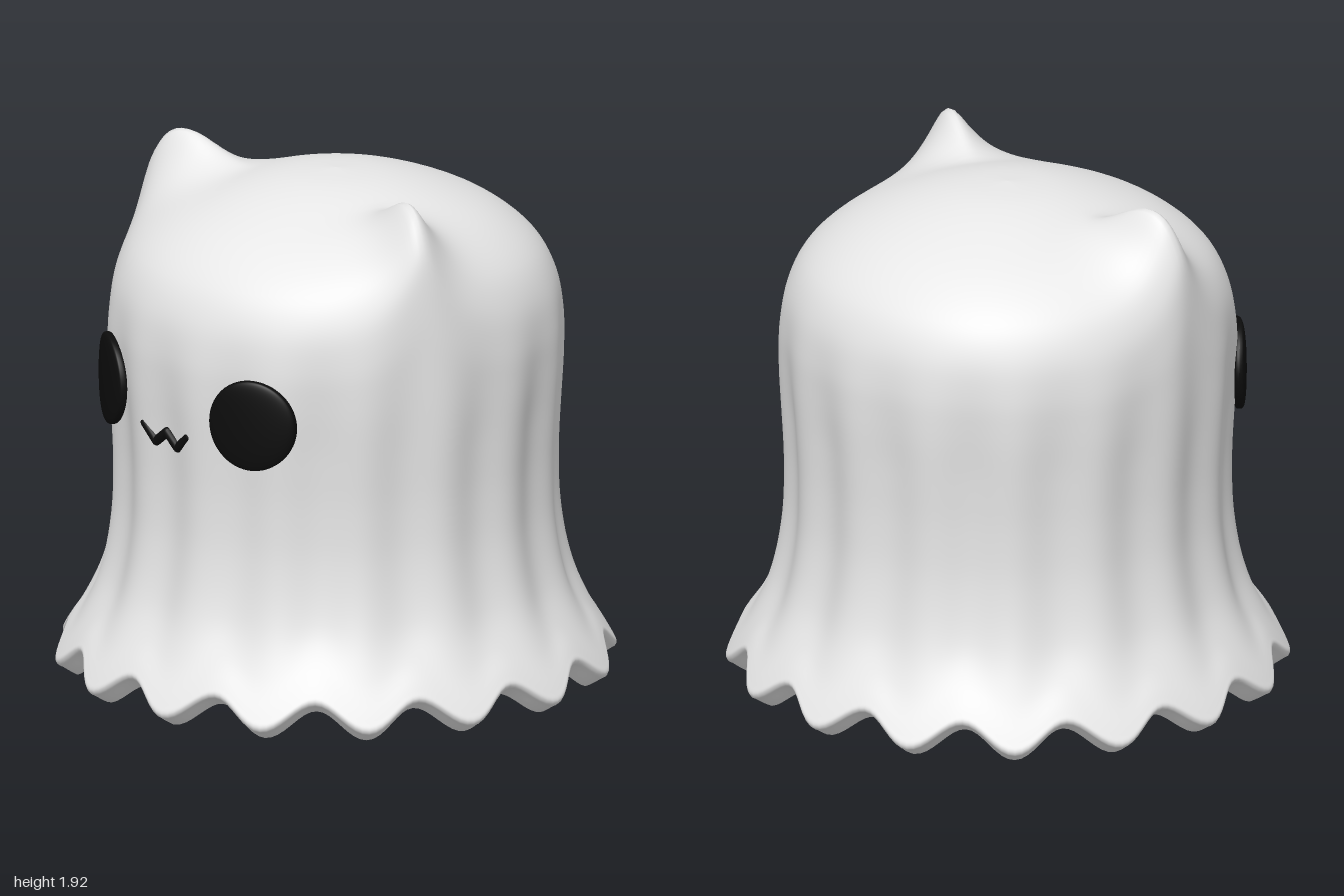
import * as THREE from 'three';

const SEG = 256;   // steps around the sheet
const LOBES = 16;  // folds around the hem

const smooth = (a, b, v) => THREE.MathUtils.smoothstep(v, a, b);

// Sheet cross-section (radius, height): crown, wall, rounded hem, then back up the lining
const PROFILE = [
  [0, 1.88], [0.2, 1.862], [0.4, 1.808], [0.6, 1.715], [0.735, 1.6], [0.797, 1.48],
  [0.82, 1.34], [0.819, 1.2], [0.805, 1.0], [0.796, 0.8], [0.803, 0.6], [0.84, 0.4],
  [0.91, 0.22], [0.98, 0.09], [0.994, 0.06], [0.988, 0.043], [0.97, 0.032], [0.935, 0.01],
  [0.916, 0.002], [0.902, 0.015], [0.83, 0.19], [0.755, 0.4], [0.715, 0.6], [0.708, 0.8],
  [0.717, 1.0], [0.731, 1.2], [0.73, 1.34], [0.705, 1.45], [0.64, 1.56], [0.5, 1.665],
  [0.3, 1.74], [0, 1.79],
];

// Pull the cloth up into a pointed ear along a ridge on each side
const EAR = { angle: 0.295, height: 0.28 };
function earLift(x, y, z) {
  const c = Math.cos(EAR.angle), s = Math.sin(EAR.angle);
  const along = Math.abs(x) * c + z * s;
  const across = z * c - Math.abs(x) * s;
  const ridge = Math.exp(-(Math.hypot(across, 0.035) - 0.035) / 0.11);
  return EAR.height * ridge * smooth(0.33, 0.75, along) * smooth(1.0, 1.5, y);
}

function sheetGeometry() {
  const curve = new THREE.CatmullRomCurve3(PROFILE.map(([r, y]) => new THREE.Vector3(r, y, 0)));
  const rows = curve.getPoints((PROFILE.length - 1) * 5);
  const positions = [], index = [];
  rows.forEach(({ x: r, y }, i) => {
    const pleat = 0.013 * (1 - smooth(1.0, 1.55, y)) + 0.012 * (1 - smooth(0.05, 0.35, y));
    const hem = 1 - smooth(0.04, 0.4, y);
    for (let j = 0; j < SEG; j++) {
      const a = (j / SEG) * Math.PI * 2;
      const wave = -Math.cos(a * LOBES);
      const radius = Math.max(0, r) + pleat * wave * Math.min(1, Math.max(0, r) * 2);
      const x = Math.sin(a) * radius, z = Math.cos(a) * radius;
      const yy = y + hem * 0.095 * (0.5 - 0.5 * wave);
      positions.push(x, yy + earLift(x, y, z), z);
      if (i < rows.length - 1) {
        const k = i * SEG + j, n = i * SEG + ((j + 1) % SEG);
        index.push(k, k + SEG, n, n, k + SEG, n + SEG);
      }
    }
  });
  const geo = new THREE.BufferGeometry();
  geo.setAttribute('position', new THREE.Float32BufferAttribute(positions, 3));
  geo.setIndex(index);
  geo.computeVertexNormals();
  return geo;
}

// Flattened oval bent to follow the face
function eyeGeometry() {
  const geo = new THREE.SphereGeometry(1, 48, 32);
  const p = geo.attributes.position;
  for (let i = 0; i < p.count; i++) {
    const x = p.getX(i) * 0.168, y = p.getY(i) * 0.168, z = p.getZ(i);
    const bulge = Math.sign(z) * Math.pow(Math.abs(z), 0.5) * 0.027;
    p.setXYZ(i, x, y, bulge - (x * x) / 1.66);
  }
  geo.computeVertexNormals();
  return geo;
}

export function createModel() {
  const cloth = new THREE.MeshStandardMaterial({ color: 0xe7e7e7 });
  cloth.name = 'white cloth';
  const black = new THREE.MeshStandardMaterial({ color: 0x0c0c0c });
  black.name = 'black';

  const model = new THREE.Group();
  model.name = 'sheetGhost';
  const add = (name, geo, mat, parent = model) => {
    const mesh = new THREE.Mesh(geo, mat);
    mesh.name = name;
    parent.add(mesh);
    return mesh;
  };

  add('sheet', sheetGeometry(), cloth);

  // Eyes
  for (const side of [1, -1]) {
    const a = side * 0.49;
    const eye = add(side > 0 ? 'leftEye' : 'rightEye', eyeGeometry(), black);
    eye.position.set(Math.sin(a) * 0.837, 1.14, Math.cos(a) * 0.837);
    eye.rotation.y = a;
  }

  // Zigzag mouth from round-ended strokes
  const mouth = new THREE.Group();
  mouth.name = 'mouth';
  model.add(mouth);
  const zigzag = [[-0.128, 1.045], [-0.065, 0.99], [-0.006, 1.037], [0.053, 0.99], [0.114, 1.045]]
    .map(([x, y]) => new THREE.Vector3(x, y, 0.795));
  for (let i = 0; i < zigzag.length - 1; i++) {
    const dir = zigzag[i + 1].clone().sub(zigzag[i]);
    const stroke = add('mouthStroke', new THREE.CapsuleGeometry(0.018, dir.length(), 6, 16), black, mouth);
    stroke.position.copy(zigzag[i]).addScaledVector(dir, 0.5);
    stroke.quaternion.setFromUnitVectors(new THREE.Vector3(0, 1, 0), dir.normalize());
  }
  return model;
}
